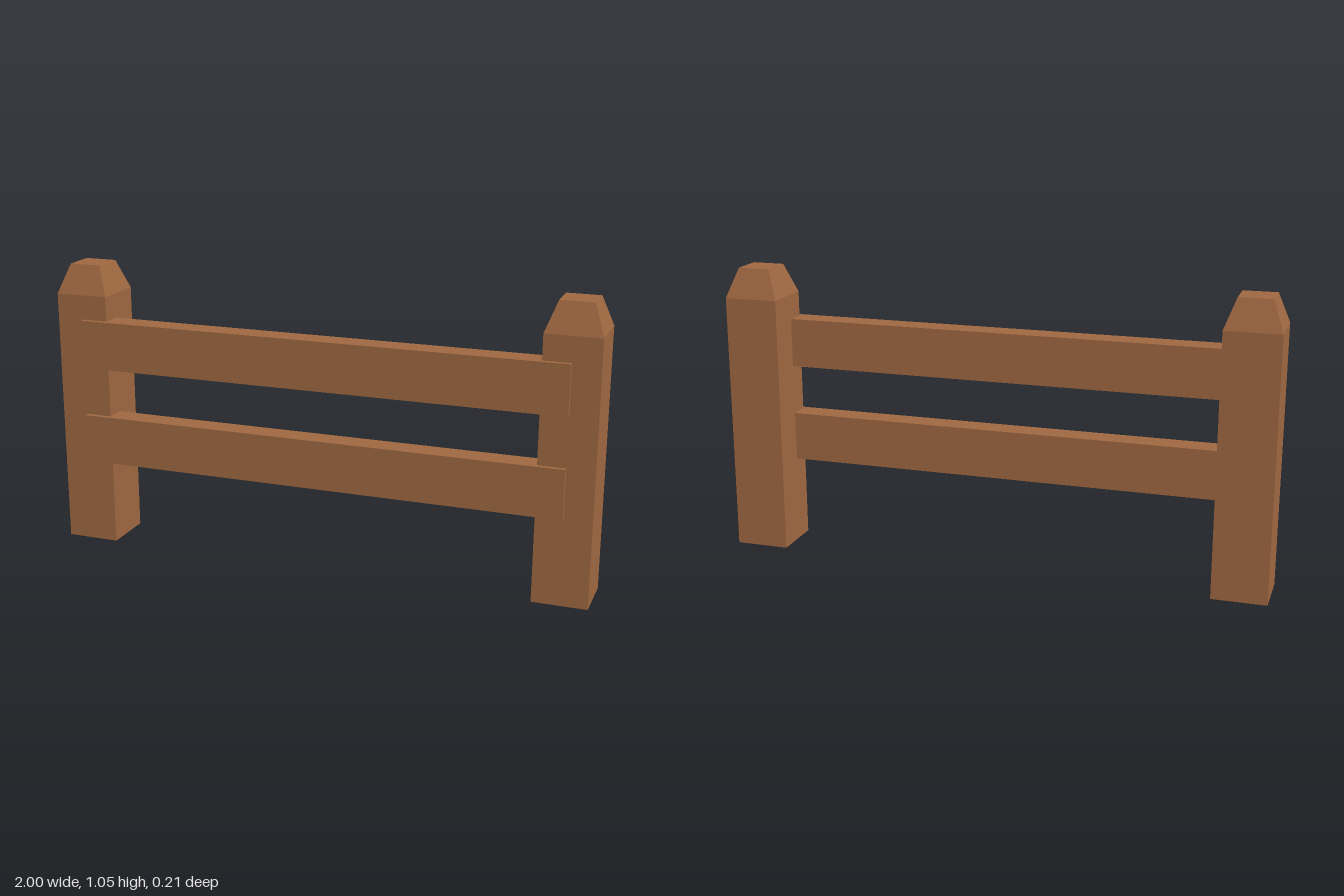
import * as THREE from 'three';

export function createModel() {
  const model = new THREE.Group();
  model.name = 'fence';
  const wood = new THREE.MeshStandardMaterial({ color: 0x9f6841, flatShading: true, side: THREE.DoubleSide });
  wood.name = 'brown wood';

  // Square post with a tapered flat cap, open underneath: four-sided lathe
  const corner = (half, y) => new THREE.Vector2(half * Math.SQRT2, y);
  const profile = [corner(0.0985, 0), corner(0.0985, 0.948), corner(0.0595, 1.055), corner(0, 1.055)];
  const postGeometry = new THREE.LatheGeometry(profile, 4, Math.PI / 4);
  for (const [name, x] of [['leftPost', 0.9015], ['rightPost', -0.9015]]) {
    const post = new THREE.Mesh(postGeometry, wood);
    post.name = name;
    post.position.set(x, 0, -0.0085);
    model.add(post);
  }

  // Two horizontal rails, set into the posts and standing slightly proud in front
  const railGeometry = new THREE.BoxGeometry(1.803, 0.179, 0.09);
  for (const [name, y] of [['lowerRail', 0.407], ['upperRail', 0.768]]) {
    const rail = new THREE.Mesh(railGeometry, wood);
    rail.name = name;
    rail.position.set(0, y, 0.062);
    model.add(rail);
  }
  return model;
}
